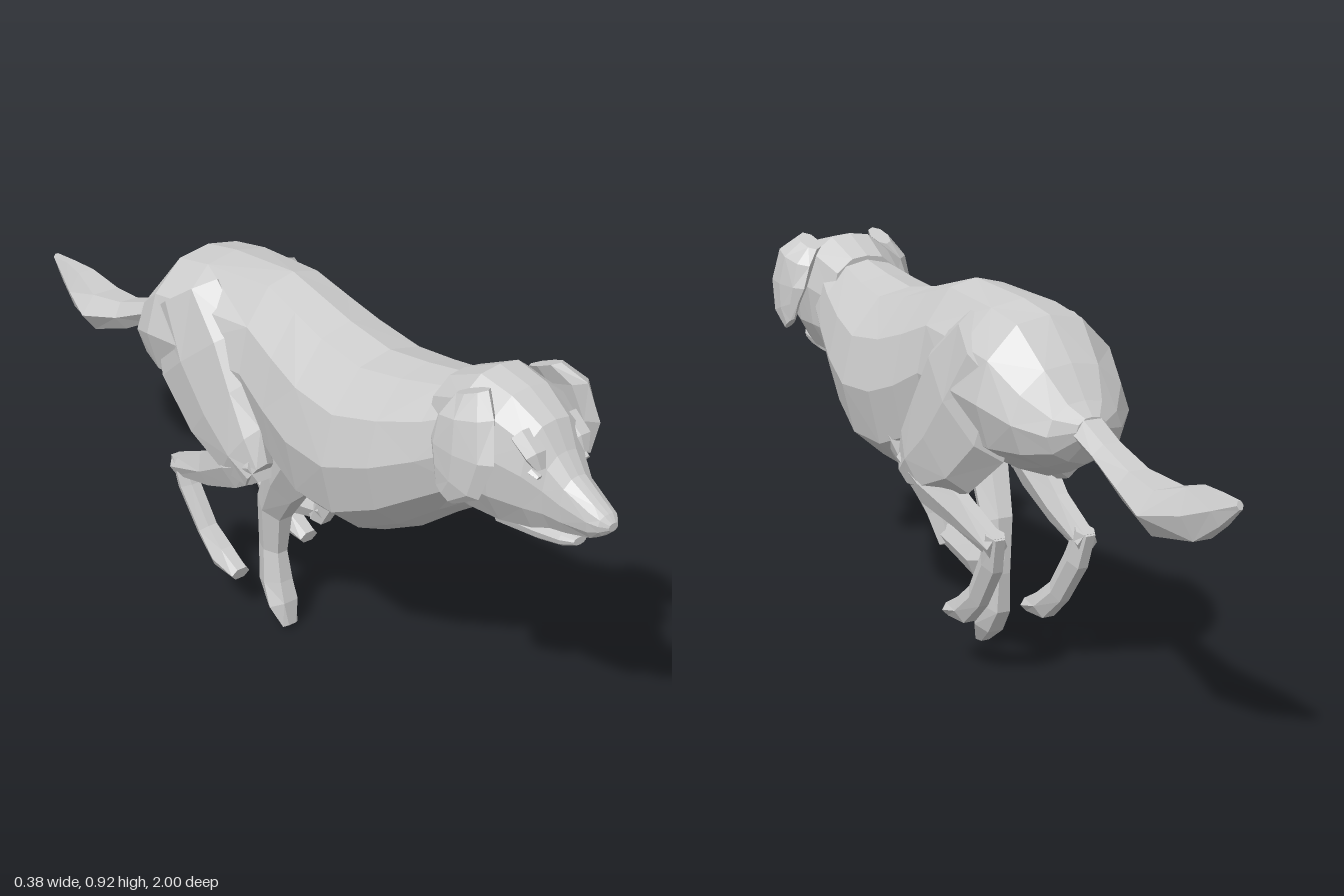
import * as THREE from 'three';

const coat = new THREE.MeshStandardMaterial({ color: 0xcccccc, flatShading: true });
coat.name = 'greyCoat';

// Skin a list of rings (arrays of Vector3, counter-clockwise about the path) and cap both ends
function loft(name, rings) {
  const pos = [];
  const tri = (...pts) => pts.forEach((p) => pos.push(p.x, p.y, p.z));
  const n = rings[0].length;
  const mid = (r) => r.reduce((s, p) => s.add(p), new THREE.Vector3()).divideScalar(n);
  const first = rings[0], last = rings[rings.length - 1];
  const c0 = mid(first), c1 = mid(last);
  for (let j = 0; j < n; j++) {
    const k = (j + 1) % n;
    for (let i = 0; i < rings.length - 1; i++) {
      const a = rings[i][j], b = rings[i][k], c = rings[i + 1][k], d = rings[i + 1][j];
      if ((i + j) % 2) { tri(a, b, c); tri(a, c, d); } else { tri(a, b, d); tri(b, c, d); }
    }
    tri(c0, first[k], first[j]);
    tri(c1, last[j], last[k]);
  }
  const geo = new THREE.BufferGeometry();
  geo.setAttribute('position', new THREE.Float32BufferAttribute(pos, 3));
  geo.computeVertexNormals();
  const mesh = new THREE.Mesh(geo, coat);
  mesh.name = name;
  return mesh;
}

// Upright cross-sections along z: [z, top, bottom, halfWidth]; half is the right half outline, top to bottom
function trunk(name, half, sections) {
  const outline = [...half].reverse().concat(half.slice(1, -1).map(([x, y]) => [-x, y]));
  return loft(name, sections.map(([z, top, bot, w]) => outline.map(([x, y]) =>
    new THREE.Vector3(x * w, (top + bot) / 2 + y * (top - bot) / 2, z))));
}

// Tube along a path in the yz plane: [x, y, z, halfWidth, halfDepth]
function limb(name, nodes, side = 1, sides = 6) {
  const X = new THREE.Vector3(1, 0, 0);
  return loft(name, nodes.map(([x, y, z, w, d], i) => {
    const p = nodes[Math.max(i - 1, 0)], q = nodes[Math.min(i + 1, nodes.length - 1)];
    const B = new THREE.Vector3(0, q[1] - p[1], q[2] - p[2]).normalize().cross(X);
    return Array.from({ length: sides }, (_, k) => {
      const a = (k / sides) * Math.PI * 2;
      return new THREE.Vector3(x * side, y, z).addScaledVector(X, w * Math.cos(a)).addScaledVector(B, d * Math.sin(a));
    });
  }));
}

export function createModel() {
  const model = new THREE.Group();
  model.name = 'runningDog';

  // Torso and neck, rump to nape
  const bodyHalf = [[0, 1], [0.45, 0.92], [0.85, 0.52], [1, 0], [0.84, -0.55], [0.42, -0.85], [0, -1]];
  model.add(trunk('body', bodyHalf, [
    [-0.485, 0.68, 0.62, 0.04], [-0.455, 0.71, 0.57, 0.095], [-0.4, 0.78, 0.54, 0.15], [-0.31, 0.87, 0.51, 0.183],
    [-0.2, 0.89, 0.51, 0.183], [0.01, 0.905, 0.49, 0.155], [0.11, 0.88, 0.42, 0.168], [0.21, 0.855, 0.38, 0.182],
    [0.34, 0.835, 0.39, 0.187], [0.46, 0.85, 0.455, 0.165], [0.57, 0.87, 0.54, 0.135], [0.67, 0.91, 0.61, 0.105],
  ]));

  // Skull tapering into the muzzle
  const headHalf = [[0, 1], [0.42, 0.96], [0.85, 0.72], [1, 0.2], [0.9, -0.4], [0.55, -0.85], [0, -1]];
  model.add(trunk('head', headHalf, [
    [0.57, 0.88, 0.6, 0.1], [0.67, 0.925, 0.6, 0.122], [0.755, 0.908, 0.605, 0.115], [0.83, 0.865, 0.62, 0.088],
    [0.865, 0.81, 0.635, 0.062], [0.9, 0.77, 0.64, 0.046], [0.96, 0.735, 0.658, 0.035], [0.985, 0.722, 0.675, 0.028], [1, 0.708, 0.69, 0.013],
  ]));
  model.add(trunk('lowerJaw', headHalf, [
    [0.74, 0.66, 0.598, 0.065], [0.83, 0.65, 0.6, 0.045], [0.89, 0.645, 0.61, 0.032], [0.918, 0.64, 0.622, 0.018],
  ]));

  // Brows, eyes and hanging ears
  for (const s of [1, -1]) {
    const label = s > 0 ? 'left' : 'right';
    model.add(limb(label + 'Brow', [
      [0.06, 0.84, 0.8, 0.03, 0.025], [0.062, 0.81, 0.842, 0.026, 0.022], [0.06, 0.785, 0.857, 0.012, 0.008],
    ], s));
    model.add(limb(label + 'Eye', [
      [0.066, 0.778, 0.84, 0.014, 0.008], [0.066, 0.77, 0.86, 0.008, 0.004],
    ], s));
    model.add(limb(label + 'Ear', [
      [0.1, 0.908, 0.7, 0.025, 0.045], [0.13, 0.87, 0.715, 0.034, 0.078], [0.148, 0.8, 0.725, 0.028, 0.09],
      [0.157, 0.74, 0.72, 0.02, 0.07], [0.162, 0.7, 0.695, 0.01, 0.03],
    ], s, 8));
  }

  // Tail
  model.add(limb('tail', [
    [0, 0.655, -0.455, 0.045, 0.035], [0, 0.615, -0.55, 0.043, 0.03], [0, 0.572, -0.65, 0.05, 0.04],
    [0, 0.545, -0.765, 0.075, 0.055], [0, 0.567, -0.87, 0.045, 0.062], [0, 0.592, -0.94, 0.024, 0.038], [0, 0.615, -1, 0.008, 0.01],
  ]));

  // Hind legs: thigh, then shank folding back to the hock and foot
  for (const s of [1, -1]) {
    const label = s > 0 ? 'left' : 'right';
    const drop = s > 0 ? 0 : 0.025;
    model.add(limb(label + 'Thigh', [
      [0.1, 0.79, -0.25, 0.07, 0.13], [0.118, 0.67, -0.17, 0.07, 0.185], [0.132, 0.57, -0.08, 0.058, 0.155],
      [0.142, 0.5, 0.01, 0.048, 0.1], [0.142, 0.46, 0.065, 0.035, 0.05],
    ], s, 8));
    model.add(limb(label + 'Shank', [
      [0.142, 0.49, 0.07, 0.038, 0.045], [0.138, 0.45, -0.03, 0.042, 0.065],
      [0.128, 0.405 - drop, -0.15, 0.03, 0.045], [0.118, 0.355 - drop, -0.29, 0.026, 0.03],
    ], s));
    model.add(limb(label + 'HindFoot', [
      [0.118, 0.385 - drop, -0.28, 0.024, 0.03], [0.112, 0.31 - drop, -0.255, 0.026, 0.036],
      [0.108, 0.215 - drop, -0.19, 0.025, 0.033], [0.106, 0.165 - drop, -0.13, 0.032, 0.036], [0.106, 0.146 - drop, -0.06, 0.026, 0.018],
    ], s));
  }

  // Left foreleg, tucked up with the paw folded back
  model.add(limb('leftForearm', [
    [0.1, 0.56, 0.2, 0.06, 0.1], [0.085, 0.44, 0.11, 0.05, 0.06], [0.065, 0.34, 0.07, 0.035, 0.04], [0.056, 0.27, 0.04, 0.028, 0.03],
  ]));
  model.add(limb('leftForepaw', [
    [0.056, 0.3, 0.065, 0.026, 0.03], [0.055, 0.285, -0.02, 0.03, 0.036], [0.052, 0.27, -0.1, 0.036, 0.045], [0.05, 0.285, -0.165, 0.026, 0.032],
  ]));

  // Right foreleg, reaching straight down
  model.add(limb('rightForeleg', [
    [-0.1, 0.56, 0.19, 0.06, 0.1], [-0.075, 0.43, 0.08, 0.048, 0.065], [-0.052, 0.32, 0.005, 0.038, 0.052],
    [-0.045, 0.2, -0.01, 0.029, 0.042], [-0.045, 0.115, 0, 0.036, 0.05], [-0.045, 0.06, 0.028, 0.041, 0.04], [-0.045, 0.01, 0.056, 0.022, 0.012],
  ]));

  return model;
}
